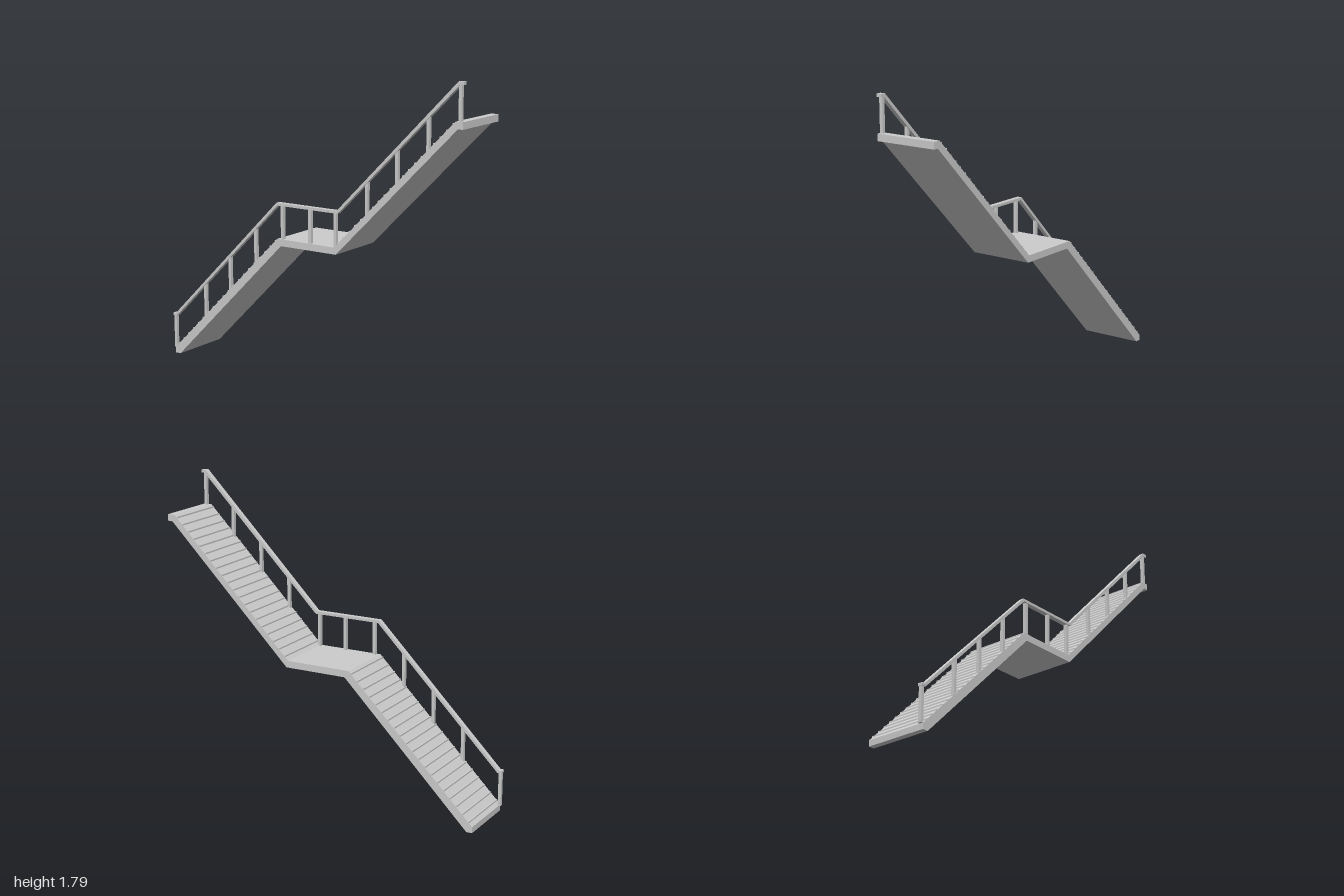
import * as THREE from 'three';

const material = new THREE.MeshStandardMaterial({ color: 0xcccccc, flatShading: true });

// Top lines of the walking surface and of the handrail, as [x, y]
const deckTop = [[-0.985, 0.035], [-0.205, 0.81], [0.19, 0.81], [0.955, 1.58], [1, 1.58]];
const deckBottom = [[1, 1.54], [0.97, 1.54], [0.2, 0.77], [-0.18, 0.77], [-0.95, 0], [-0.985, 0]];
const railTop = [[-1, 0.25], [-0.98, 0.25], [-0.21, 1.02], [0.205, 1.02], [0.97, 1.79], [1, 1.79]];
const railBottom = [[1, 1.772], [0.978, 1.772], [0.212, 1.004], [-0.203, 1.004], [-0.973, 0.234], [-1, 0.234]];

function heightAt(line, x) {
  if (x <= line[0][0]) return line[0][1];
  for (let i = 1; i < line.length; i++) {
    const [x0, y0] = line[i - 1], [x1, y1] = line[i];
    if (x <= x1) return y0 + (y1 - y0) * (x - x0) / (x1 - x0);
  }
  return line[line.length - 1][1];
}

function slab(name, outline, z0, z1) {
  const shape = new THREE.Shape(outline.map(([x, y]) => new THREE.Vector2(x, y)));
  const geometry = new THREE.ExtrudeGeometry(shape, { depth: z1 - z0, bevelEnabled: false });
  geometry.translate(0, 0, z0);
  const mesh = new THREE.Mesh(geometry, material);
  mesh.name = name;
  return mesh;
}

function box(name, w, h, d, x, y, z) {
  const mesh = new THREE.Mesh(new THREE.BoxGeometry(w, h, d), material);
  mesh.name = name;
  mesh.position.set(x, y, z);
  return mesh;
}

export function createModel() {
  const model = new THREE.Group();
  model.name = 'staircase';

  // Two sloping flights joined by a landing
  model.add(slab('flightsAndLanding', [...deckTop, ...deckBottom], -0.19, 0.19));

  // Shallow treads whose noses rise just above each slope
  const treads = new THREE.Group();
  treads.name = 'treads';
  const count = 20, size = 0.018, nose = 0.009;
  for (const [start, end] of [[deckTop[0], deckTop[1]], [deckTop[2], deckTop[3]]]) {
    for (let i = 0; i < count; i++) {
      const t = (i + 0.5) / count;
      const x = start[0] + (end[0] - start[0]) * t;
      const y = start[1] + (end[1] - start[1]) * t;
      treads.add(box('tread', size, size, 0.378, x + size / 2, y + nose - size / 2, 0));
    }
  }
  model.add(treads);

  // Handrail along the front side only
  model.add(slab('handrail', [...railTop, ...railBottom], 0.16, 0.19));

  // Posts from the walking surface up into the rail
  const posts = new THREE.Group();
  posts.name = 'railPosts';
  for (const x of [-0.988, -0.75, -0.56, -0.368, -0.175, 0.018, 0.19, 0.4, 0.593, 0.786, 0.978]) {
    const bottom = heightAt(deckTop, x) - (x < -0.9 ? 0 : 0.008);
    const top = heightAt(railTop, x) - 0.012;
    posts.add(box('railPost', 0.018, top - bottom, 0.02, x, (top + bottom) / 2, 0.175));
  }
  model.add(posts);

  return model;
}
